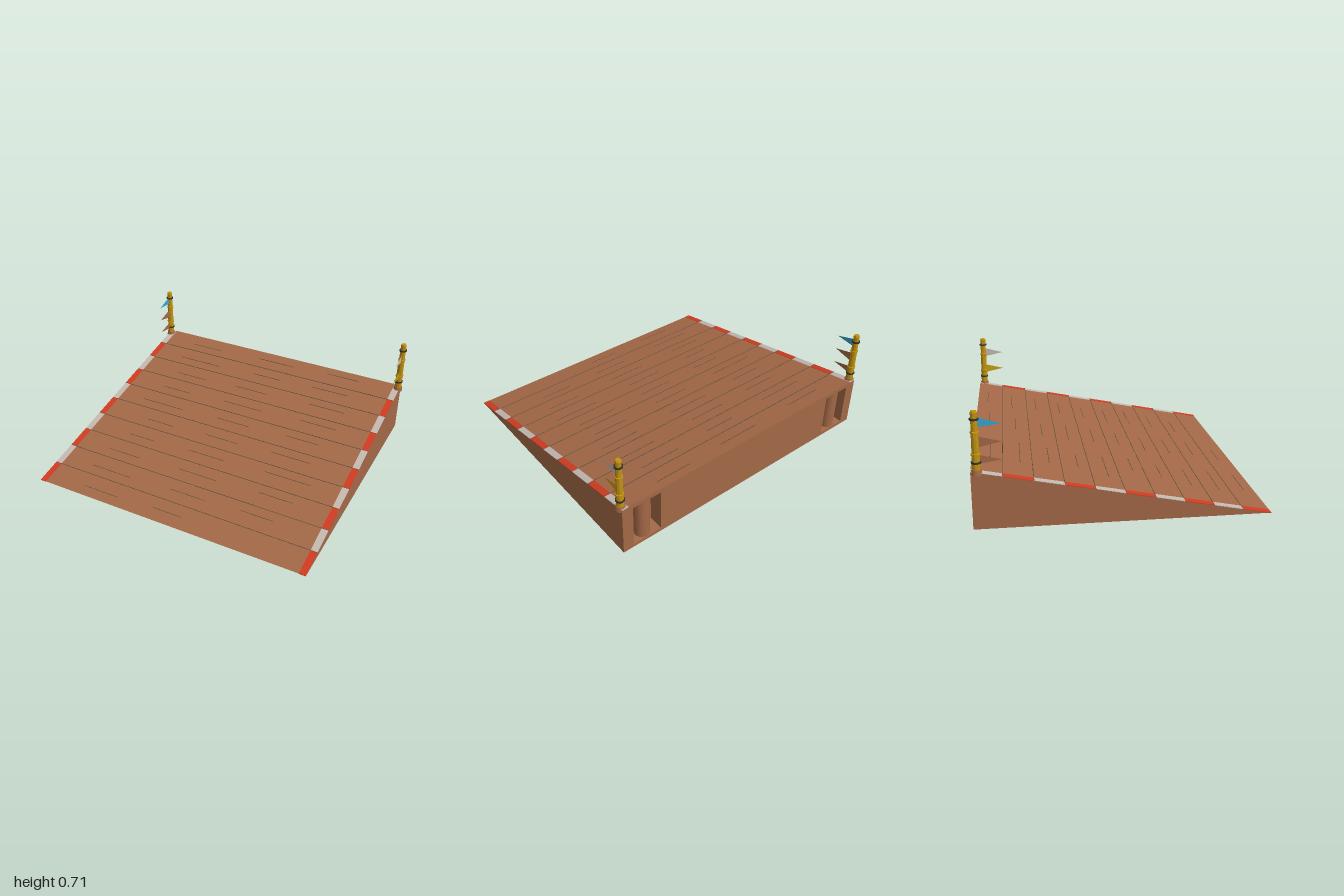
import * as THREE from 'three';

const W = 0.98, D = 0.885, H = 0.355;
const mat = (name, color, extra = {}) => Object.assign(new THREE.MeshStandardMaterial({ color, ...extra }), { name });

export function createModel() {
  const wood = mat('wood brown', 0xa46947);
  const red = mat('stripe red', 0xd23c22);
  const pale = mat('stripe pale grey', 0xc6bab2);
  const dark = mat('underside dark', 0x4a4234);
  const iron = mat('iron band', 0x33322e);
  const grain = mat('grain grey green', 0x55503f);
  const gold = mat('post gold', 0xc2920f, { flatShading: true });
  const flagMats = {
    blue: mat('flag blue', 0x3aa6d0, { side: THREE.DoubleSide }),
    pale: mat('flag pale', 0xc6bab2, { side: THREE.DoubleSide }),
    brown: mat('flag brown', 0xa46947, { side: THREE.DoubleSide }),
  };
  flagMats.yellow = mat('flag yellow', 0xc8a010, { side: THREE.DoubleSide });

  const model = new THREE.Group();
  model.name = 'ramp';
  const add = (parent, name, geo, material, x = 0, y = 0, z = 0) => {
    const m = new THREE.Mesh(geo, material);
    m.name = name;
    m.position.set(x, y, z);
    parent.add(m);
    return m;
  };

  // Wedge body in slices across x; the notched slices form the rear recesses
  const full = [[D, 0.001], [-D, 0.001], [-D, H]];
  const notched = [[D, 0.001], [-D, 0.001], [-D, 0.025], [-D + 0.1, 0.025], [-D + 0.1, 0.325], [-D, 0.325], [-D, H]];
  const slices = [[-W, -0.905, full], [-0.905, -0.705, notched], [-0.705, 0.705, full], [0.705, 0.905, notched], [0.905, W, full]];
  for (const [x0, x1, pts] of slices) {
    const shape = new THREE.Shape(pts.map(([z, y]) => new THREE.Vector2(z, y)));
    const geo = new THREE.ExtrudeGeometry(shape, { depth: x1 - x0, bevelEnabled: false });
    geo.rotateY(-Math.PI / 2);
    add(model, 'wedgeBody', geo, wood, x1);
  }
  add(model, 'underside', new THREE.PlaneGeometry(2 * W, 2 * D).rotateX(Math.PI / 2), dark);

  // Round pillars standing in the rear recesses
  for (const s of [-1, 1])
    add(model, 'recessPillar', new THREE.CylinderGeometry(0.05, 0.05, 0.3, 16), wood, s * 0.81, 0.175, -0.832);

  // Deck details lie on the slope
  const angle = Math.atan2(H, 2 * D);
  const deck = new THREE.Group();
  deck.name = 'deckDetails';
  deck.position.y = H / 2;
  deck.rotation.x = angle;
  model.add(deck);
  const stretch = 1 / Math.cos(angle);
  const plate = (name, m, x0, x1, z0, z1, t) =>
    add(deck, name, new THREE.BoxGeometry(x1 - x0, t, (z1 - z0) * stretch), m,
      (x0 + x1) / 2, 0, (z0 + z1) / 2 * stretch);

  // Start and end of the three grain scratches on each plank
  const scratches = [
    [-0.71, -0.45, -0.13, 0.17, 0.43, 0.68], [-0.72, -0.38, -0.09, 0.13, 0.38, 0.66],
    [-0.65, -0.40, -0.16, 0.10, 0.43, 0.70], [-0.67, -0.45, -0.17, 0.14, 0.44, 0.71],
    [-0.75, -0.41, -0.13, 0.13, 0.41, 0.65], [-0.60, -0.38, -0.12, 0.13, 0.38, 0.66],
    [-0.64, -0.43, -0.16, 0.11, 0.41, 0.74], [-0.71, -0.45, -0.14, 0.15, 0.45, 0.69],
    [-0.72, -0.41, -0.10, 0.16, 0.41, 0.64], [-0.66, -0.40, -0.13, 0.08],
  ];
  const step = 2 * D / 10;
  scratches.forEach((row, i) => {
    const z = -D + i * step;
    for (const s of [-1, 1]) {
      const a = s * W, b = s * 0.935;
      plate('edgeStripe', i % 2 ? red : pale, Math.min(a, b), Math.max(a, b), z, z + step, 0.004);
    }
    if (i) plate('plankGap', grain, -W, W, z - 0.0015, z + 0.0015, 0.005);
    for (let k = 0; k < row.length; k += 2) {
      const gz = z + 0.104 - k * 0.009;
      plate('grainScratch', grain, row[k], row[k + 1], gz - 0.0015, gz + 0.0015, 0.004);
    }
  });

  // Corner posts with bands and pennants
  const postProfile = [[0, 0.35], [0.024, 0.35], [0.023, 0.448], [0.027, 0.45], [0.027, 0.46], [0.022, 0.462],
    [0.021, 0.578], [0.025, 0.58], [0.025, 0.59], [0.02, 0.592], [0.019, 0.675], [0.02, 0.7], [0.016, 0.71], [0, 0.71]];
  const pennants = {
    '-1': [['blue', 0.672, 0.629, 0.615], ['brown', 0.56, 0.525, 0.495], ['brown', 0.45, 0.418, 0.397]],
    '1': [['pale', 0.632, 0.596, 0.567], ['yellow', 0.5, 0.467, 0.438]],
  };
  for (const s of [-1, 1]) {
    const post = new THREE.Group();
    post.name = s > 0 ? 'leftPost' : 'rightPost';
    post.position.set(s * 0.967, 0, -0.85);
    model.add(post);
    add(post, 'column', new THREE.LatheGeometry(postProfile.map(p => new THREE.Vector2(...p)), 10), gold);
    add(post, 'postFoot', new THREE.CylinderGeometry(0.028, 0.033, 0.032, 10), wood, 0, 0.35);
    for (const [y, r] of [[0.408, 0.029], [0.662, 0.027]])
      add(post, 'ironBand', new THREE.CylinderGeometry(r, r, 0.01, 10), iron, 0, y);
    for (const [colour, top, tip, bottom] of pennants[s]) {
      const shape = new THREE.Shape([[0.015, bottom], [0.15, tip], [0.015, top]].map(p => new THREE.Vector2(...p)));
      add(post, 'pennant', new THREE.ShapeGeometry(shape).rotateY(-Math.PI / 2), flagMats[colour]);
    }
  }
  return model;
}
